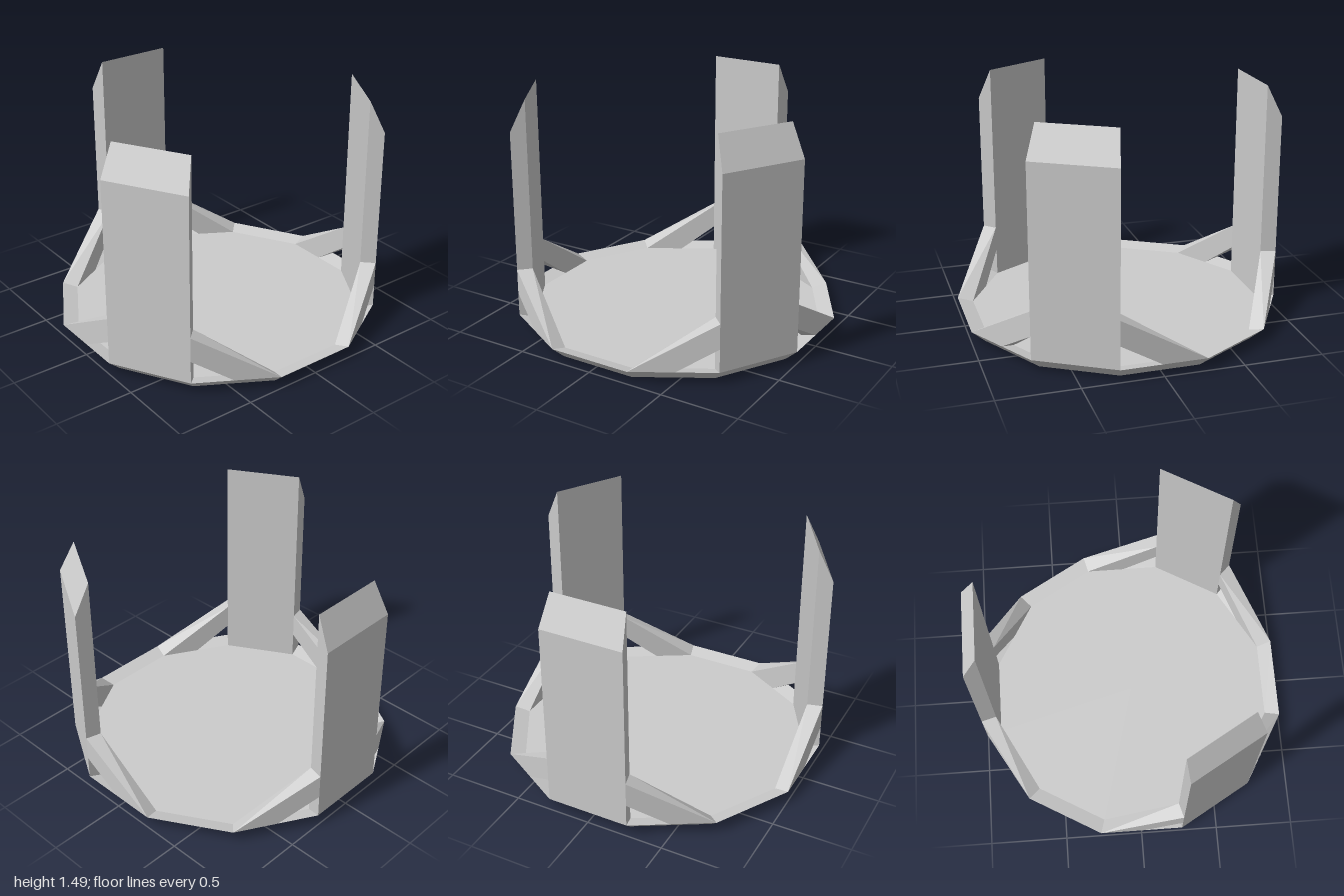
import * as THREE from 'three';

const STEP = Math.PI / 6;              // twelve-sided plan
const R = 1 / Math.cos(STEP / 2);      // corner radius, flats at 1
const INNER = 0.905;                   // inner wall line as a share of the outer
const RIM = 0.08, FLOOR = 0.055;

const material = new THREE.MeshStandardMaterial({ color: 0xcccccc, flatShading: true });

// Point on side k: t runs 0..1 between its corners, s scales toward the centre
function onSide(k, t, y, s) {
  const a = (k - 0.5) * STEP, b = a + STEP;
  const x = THREE.MathUtils.lerp(Math.cos(a), Math.cos(b), t);
  const z = THREE.MathUtils.lerp(Math.sin(a), Math.sin(b), t);
  return [x * R * s, y, z * R * s];
}

// Solid on side k from corners [t, outerY, innerY], counter-clockwise from outside
function wallSolid(name, k, corners, mirrored = false) {
  const list = mirrored ? corners.map(([t, o, i]) => [1 - t, o, i]).reverse() : corners;
  const outer = list.map(([t, y]) => onSide(k, t, y, 1));
  const inner = list.map(([t, , y]) => onSide(k, t, y, INNER));
  const pos = [];
  const tri = (a, b, c) => pos.push(...a, ...b, ...c);
  tri(outer[0], outer[1], outer[2]);
  tri(outer[0], outer[2], outer[3]);
  tri(inner[0], inner[2], inner[1]);
  tri(inner[0], inner[3], inner[2]);
  for (let i = 0; i < 4; i++) {
    const j = (i + 1) % 4;
    const [a, b, c, d] = [outer[j], outer[i], inner[i], inner[j]];
    if (mirrored) { tri(a, b, d); tri(b, c, d); } else { tri(a, b, c); tri(a, c, d); }
  }
  const geometry = new THREE.BufferGeometry();
  geometry.setAttribute('position', new THREE.Float32BufferAttribute(pos, 3));
  geometry.computeVertexNormals();
  const mesh = new THREE.Mesh(geometry, material);
  mesh.name = name;
  return mesh;
}

export function createModel() {
  const model = new THREE.Group();
  model.name = 'roundPlatform';

  // Dish base: flat underside, flared edge, shallow sunken floor
  const profile = [[0, 0], [R * 0.915, 0], [R, RIM], [R * INNER, FLOOR], [0, FLOOR]]
    .map(([x, y]) => new THREE.Vector2(x, y));
  const base = new THREE.Mesh(new THREE.LatheGeometry(profile, 12), material);
  base.rotation.y = STEP / 2;
  base.name = 'base';
  model.add(base);

  // Upright with a top sloping outward
  const post = [[1, RIM, FLOOR], [0, RIM, FLOOR], [0, 1.29, 1.49], [1, 1.29, 1.49]];
  // Diagonal brace from the post down to the next corner
  const brace = [[0, 0.39, 0.39], [1, RIM, FLOOR], [0.48, RIM, FLOOR], [0, 0.23, 0.23]];

  [[1, 'left'], [5, 'right'], [9, 'back']].forEach(([k, side]) => {
    const support = new THREE.Group();
    support.name = side + 'Support';
    support.add(
      wallSolid('post', k, post),
      wallSolid('braceA', k + 1, brace),
      wallSolid('braceB', k - 1, brace, true)
    );
    model.add(support);
  });
  return model;
}
